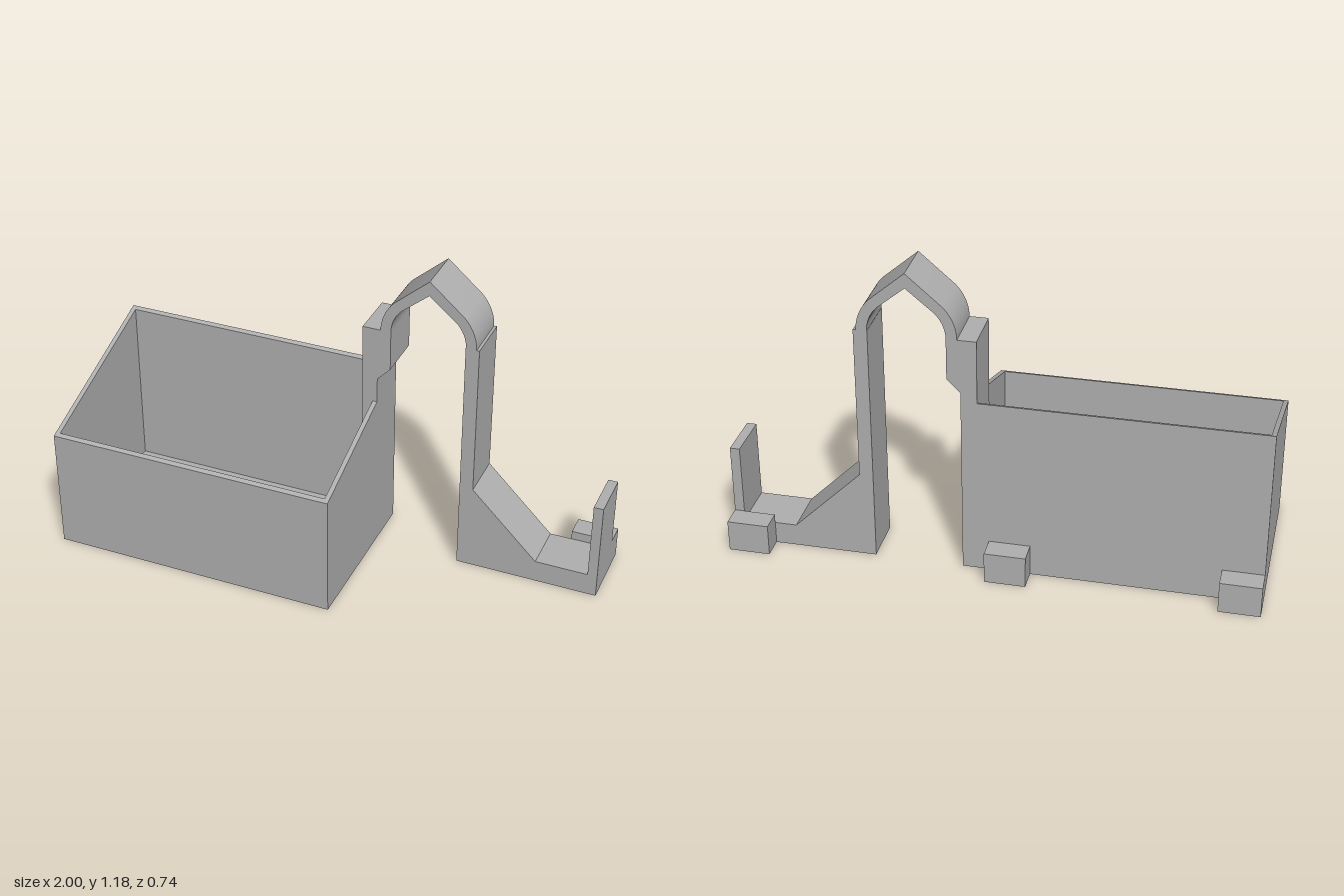
import * as THREE from 'three';
import { toCreasedNormals } from 'three/addons/utils/BufferGeometryUtils.js';

const grey = new THREE.MeshStandardMaterial({ color: 0xb0b0b0 });
grey.name = 'grey plastic';

const BACK = -0.285, FRONT = 0.37, LEFT = -1, RIGHT = 0.115, WALL = 0.018;
const BAND_FRONT = -0.095; // front face of the arch and its legs

const polygon = (pts) => new THREE.Shape(pts.map(([x, y]) => new THREE.Vector2(x, y)));

export function createModel() {
  const model = new THREE.Group();
  model.name = 'binWithArch';

  const add = (name, geometry) => {
    const mesh = new THREE.Mesh(geometry, grey);
    mesh.name = name;
    model.add(mesh);
  };

  // Front-facing outline extruded through the depth of the arch band
  const band = (name, shape) => {
    const geo = new THREE.ExtrudeGeometry(shape, { depth: BAND_FRONT - BACK, bevelEnabled: false, curveSegments: 10 });
    geo.translate(0, 0, BACK);
    add(name, toCreasedNormals(geo, 0.4));
  };

  // Wall panel whose top follows the sloping rim
  const rim = (z) => 0.48 + (FRONT - z) / (FRONT - BACK) * 0.22;
  const wall = (name, x0, x1, z0, z1) => {
    const shape = polygon([[z0, 0], [z1, 0], [z1, rim(z1)], [z0, rim(z0)]]);
    const geo = new THREE.ExtrudeGeometry(shape, { depth: x1 - x0, bevelEnabled: false });
    geo.rotateY(-Math.PI / 2).translate(x1, 0, 0);
    add(name, geo);
  };

  // Bin walls
  wall('binFrontWall', LEFT, RIGHT, FRONT - WALL, FRONT);
  wall('binBackWall', LEFT, RIGHT, BACK, BACK + WALL);
  wall('binRightWall', LEFT, LEFT + WALL, BACK + WALL, FRONT - WALL);
  wall('binLeftWall', RIGHT - WALL, RIGHT, BACK + WALL, FRONT - WALL);

  // Slotted floor
  const rect = (x0, x1, z0, z1) => [[x0, -z1], [x1, -z1], [x1, -z0], [x0, -z0]];
  const floor = polygon(rect(LEFT + WALL, RIGHT - WALL, BACK + WALL, FRONT - WALL));
  for (let i = 0; i < 12; i++) {
    const x = -0.941 + i * 0.0872;
    floor.holes.push(polygon(rect(x, x + 0.04, -0.217, 0.292).reverse()));
  }
  const floorGeo = new THREE.ExtrudeGeometry(floor, { depth: 0.02, bevelEnabled: false });
  add('slottedFloor', floorGeo.rotateX(-Math.PI / 2));

  // Post rising from the bin corner
  band('binPost', polygon([[0.055, 0], [0.115, 0], [0.115, 0.735], [0.165, 0.787], [0.165, 0.945], [0.055, 0.945]]));

  // Pointed arch: rounded shoulders and a 45 degree peak
  const mid = 0.308, spring = 0.945, off = 0.009, outer = 0.174, inner = 0.134;
  const peak = (r) => spring + r * Math.SQRT2 + off;
  const q = Math.PI / 4;
  const arch = new THREE.Shape();
  arch.moveTo(mid + off + outer, spring);
  arch.absarc(mid + off, spring, outer, 0, q, false);
  arch.lineTo(mid, peak(outer) - 2 * off);
  arch.absarc(mid - off, spring, outer, 3 * q, 4 * q, false);
  arch.lineTo(mid - off - inner, spring);
  arch.absarc(mid - off, spring, inner, 4 * q, 3 * q, true);
  arch.lineTo(mid, peak(inner) - 2 * off);
  arch.absarc(mid + off, spring, inner, q, 0, true);
  arch.closePath();
  band('pointedArch', arch);

  // Free leg with sloped brace, tray and end stop
  band('legAndTray', polygon([
    [0.45, 0], [1, 0], [1, 0.395], [0.963, 0.395], [0.963, 0.088],
    [0.76, 0.088], [0.502, 0.345], [0.502, 0.945], [0.45, 0.945],
  ]));

  // Spacer blocks along the back
  [[-1, -0.845], [-0.14, 0.015], [0.843, 1]].forEach(([x0, x1], i) => {
    const geo = new THREE.BoxGeometry(x1 - x0, 0.123, 0.085);
    add('backBlock' + (i + 1), geo.translate((x0 + x1) / 2, 0.0615, BACK - 0.0425));
  });

  return model;
}
